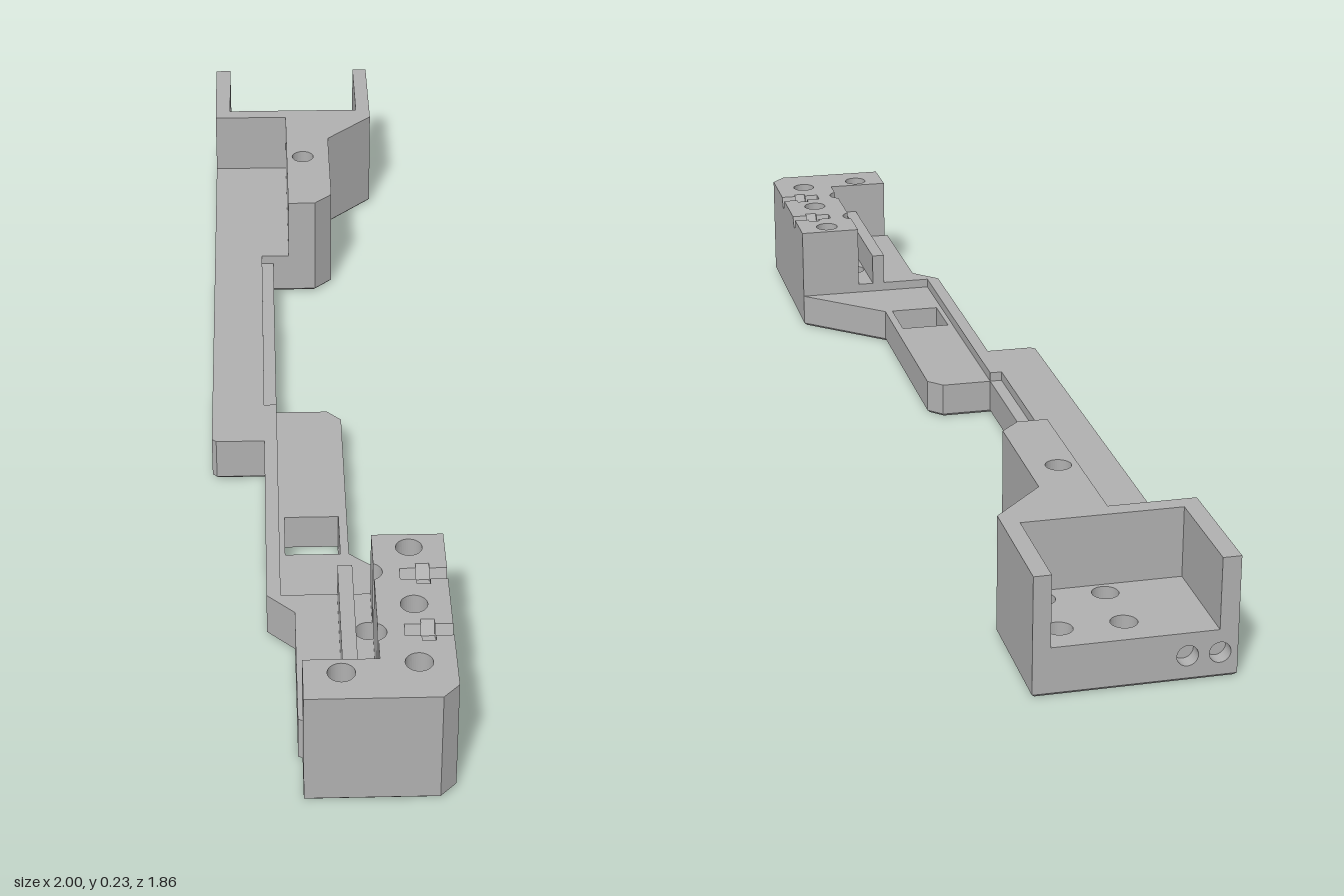
import * as THREE from 'three';

// Plan coordinates: s runs along the bar, t across it; the group is turned 45 degrees at the end.
const END = -1.177, SLAB = 0.03, HOLE_R = 0.025;

// Holes run clockwise and outlines counter-clockwise, so every wall faces outward
const roundHoles = (list) => list.map(([s, t, r = HOLE_R]) =>
  new THREE.Path().absarc(s, t, r, 0, Math.PI * 2, true));

function shapeOf(points, holes = []) {
  const outline = points.map(([s, t]) => new THREE.Vector2(s, t));
  if (THREE.ShapeUtils.isClockWise(outline)) outline.reverse();
  const shape = new THREE.Shape(outline);
  shape.holes = roundHoles(holes);
  return shape;
}

function rectHole(s0, s1, t0, t1) {
  return new THREE.Path([[s0, t0], [s0, t1], [s1, t1], [s1, t0]].map(p => new THREE.Vector2(...p)));
}

// Full footprint, clockwise, starting at the chosen end position
const footprint = (end) => [
  [end, -0.238], [end, 0.138], [-0.919, 0.138], [-0.81, 0.032], [-0.534, 0.032],
  [-0.495, -0.007], [-0.495, -0.104], [0.124, -0.104], [0.124, 0.003], [0.155, 0.032],
  [0.622, 0.032], [0.774, 0.203], [1.209, 0.203], [1.241, 0.173], [1.241, -0.07],
  [1.135, -0.07], [1.131, -0.078], [0.827, -0.078], [0.774, -0.131], [0.258, -0.131],
  [0.258, -0.231], [0.249, -0.24],
];

const trayHoles = [[-1.109, 0.072], [-1.109, -0.047], [-0.99, 0.072], [-0.99, -0.047]];
const wallHole = [-0.72, -0.03];
const outerHoles = [[0.814, 0.136], [0.983, 0.136], [1.146, 0.136], [1.171, -0.002]];
const slotHoles = [[0.886, 0.058], [1.061, 0.058]];
const allHoles = [...trayHoles, wallHole, ...outerHoles, ...slotHoles];
const grooves = [1.057, 0.894];

// Footprint with every round hole and the square window
function drilledFootprint(end) {
  const shape = shapeOf(footprint(end), allHoles);
  shape.holes.push(rectHole(0.499, 0.622, -0.093, 0.015));
  return shape;
}

// Pull the bottom outer edge inward to make a small chamfer
function chamferBottom(geo, pts, c) {
  const n = pts.length;
  const normal = (a, b) => new THREE.Vector2(b[1] - a[1], a[0] - b[0]).normalize();
  const pos = geo.attributes.position;
  for (let i = 0; i < pos.count; i++) {
    if (pos.getZ(i) > 1e-6) continue;
    const k = pts.findIndex(p => Math.hypot(p[0] - pos.getX(i), p[1] - pos.getY(i)) < 1e-5);
    if (k < 0) continue;
    const n1 = normal(pts[(k + n - 1) % n], pts[k]);
    const n2 = normal(pts[k], pts[(k + 1) % n]);
    const f = c / (1 + n1.dot(n2));
    pos.setXY(i, pos.getX(i) + (n1.x + n2.x) * f, pos.getY(i) + (n1.y + n2.y) * f);
  }
  geo.computeVertexNormals();
}

// Narrow the grooves toward their floor so their sides slope
function slopeGrooves(geo) {
  const pos = geo.attributes.position;
  for (let i = 0; i < pos.count; i++) {
    const s = pos.getX(i);
    const c = grooves.find(g => Math.abs(s - g) < 0.031);
    if (c === undefined || pos.getZ(i) > 1e-6 || pos.getY(i) < 0.11) continue;
    pos.setX(i, c + (s - c) * 0.35);
  }
  geo.computeVertexNormals();
}

// Tall block plan: its slot side is notched by two holes, its top by two stepped grooves
function blockShape(grooved) {
  const shape = new THREE.Shape();
  const edge = 0.067;
  const a = Math.asin((edge - slotHoles[0][1]) / HOLE_R);
  shape.moveTo(0.774, 0.203);
  shape.lineTo(0.774, edge);
  for (const [s, t] of slotHoles) shape.absarc(s, t, HOLE_R, Math.PI - a, a, true);
  for (const p of [[1.135, edge], [1.135, -0.07], [1.241, -0.07], [1.241, 0.173], [1.209, 0.203]]) {
    shape.lineTo(...p);
  }
  if (grooved) {
    const half = [[0.016, 0.203], [0.016, 0.17], [0.03, 0.17], [0.03, 0.145], [0.016, 0.145], [0.016, 0.115]];
    for (const s of grooves) {
      for (const [w, t] of half) shape.lineTo(s + w, t);
      for (const [w, t] of [...half].reverse()) shape.lineTo(s - w, t);
    }
  }
  shape.closePath();
  shape.holes = roundHoles(outerHoles);
  return shape;
}

export function createModel() {
  const grey = new THREE.MeshStandardMaterial({ color: 0xb0b0b0 });
  grey.name = 'grey';
  const model = new THREE.Group();
  model.name = 'mountingBracket';

  const extrude = (shape, depth) =>
    new THREE.ExtrudeGeometry(shape, { depth, bevelEnabled: false, curveSegments: 20 });
  const add = (name, geo) => {
    const mesh = new THREE.Mesh(geo, grey);
    mesh.name = name;
    model.add(mesh);
  };
  const layer = (name, shape, y0, y1, reshape) => {
    const geo = extrude(shape, y1 - y0);
    if (reshape) reshape(geo);
    geo.rotateX(-Math.PI / 2);
    geo.translate(0, y0, 0);
    add(name, geo);
  };

  // Chamfered sole
  layer('sole', drilledFootprint(END), 0, 0.006, geo => chamferBottom(geo, footprint(END), 0.006));

  // Lower body with the square window
  const inner = END + SLAB;
  layer('lowerBody', drilledFootprint(inner), 0.006, 0.075);

  // Upper body: leaves a ledge on one half and a thin ridge on the other
  layer('upperBody', shapeOf([
    [inner, -0.238], [inner, 0.138], [-0.919, 0.138], [-0.81, 0.032], [-0.534, 0.032],
    [-0.495, -0.007], [-0.495, -0.13], [0.124, -0.13], [0.124, -0.104], [0.774, -0.104],
    [0.774, 0.203], [1.209, 0.203], [1.241, 0.173], [1.241, -0.07], [1.135, -0.07],
    [1.131, -0.078], [0.827, -0.078], [0.774, -0.131], [0.258, -0.131], [0.258, -0.231],
    [0.249, -0.24],
  ], allHoles), 0.075, 0.095);

  // Tray walls and the thick wall beside the bar
  layer('trayWalls', shapeOf([
    [inner, -0.238], [-0.922, -0.238], [-0.922, -0.068], [-0.495, -0.068], [-0.495, -0.007],
    [-0.534, 0.032], [-0.81, 0.032], [-0.919, 0.138], [inner, 0.138], [inner, 0.105],
    [-0.957, 0.105], [-0.957, -0.203], [inner, -0.203],
  ], [wallHole]), 0.095, 0.235);

  // Open tray end with two small horizontal holes
  const endGeo = extrude(shapeOf([
    [-0.238, 0.006], [0.138, 0.006], [0.138, 0.235], [0.105, 0.235], [0.105, 0.095],
    [-0.203, 0.095], [-0.203, 0.235], [-0.238, 0.235],
  ], [[-0.205, 0.05, 0.02], [-0.145, 0.05, 0.02]]), SLAB);
  endGeo.rotateY(Math.PI / 2);
  endGeo.translate(END, 0, 0);
  add('trayEnd', endGeo);

  // Tall block with a grooved top
  layer('tallBlock', blockShape(false), 0.095, 0.212);
  layer('tallBlockTop', blockShape(true), 0.212, 0.235, slopeGrooves);

  // Thin fin in front of the slot
  layer('slotFin', shapeOf([[0.774, 0.004], [1.135, 0.004], [1.135, 0.032], [0.774, 0.032]]), 0.095, 0.165);

  model.rotation.y = -Math.PI / 4;
  const root = new THREE.Group();
  root.name = 'bracket';
  root.add(model);
  return root;
}
